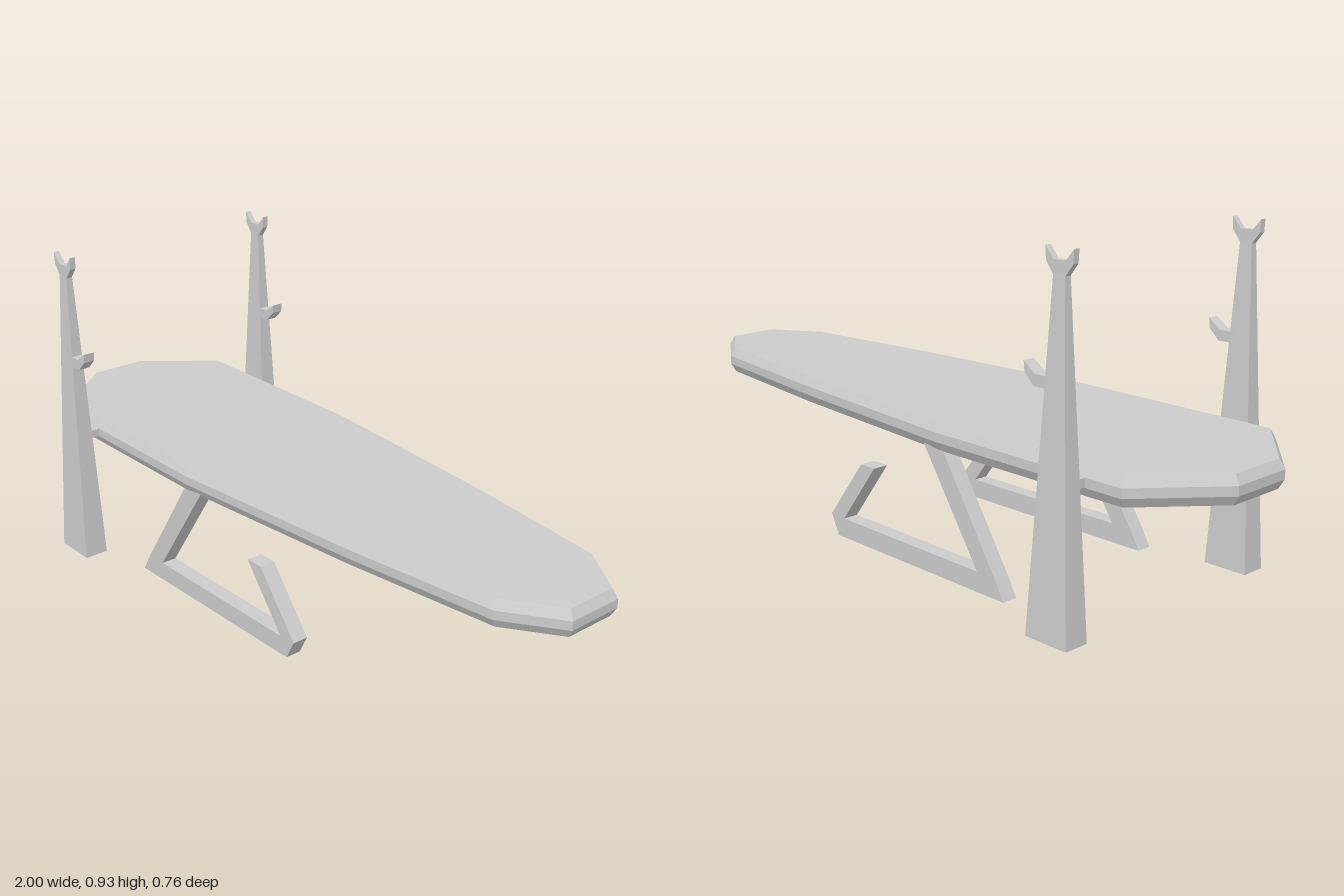
import * as THREE from 'three';

const material = new THREE.MeshStandardMaterial({ color: 0xcccccc, flatShading: true, side: THREE.DoubleSide });

function add(parent, geometry, name) {
  const mesh = new THREE.Mesh(geometry, material);
  mesh.name = name;
  parent.add(mesh);
  return mesh;
}

// Flat profile in x/y, extruded evenly about z = 0
function slab(points, width) {
  const shape = new THREE.Shape(points.map(([x, y]) => new THREE.Vector2(x, y)));
  const geometry = new THREE.ExtrudeGeometry(shape, { depth: width, bevelEnabled: false });
  return geometry.translate(0, 0, -width / 2);
}

// Tapering board with chamfered rim
function boardGeometry() {
  const half = [[-1, 0.09], [-0.83, 0.295], [-0.21, 0.295], [0.4, 0.24], [0.85, 0.182], [1, 0.08]];
  const outline = [...half.map(([x, z]) => [x, -z]), ...half.slice().reverse()];
  const shape = new THREE.Shape(outline.map(([x, z]) => new THREE.Vector2(x, z)));
  const geometry = new THREE.ExtrudeGeometry(shape, {
    depth: 0.025, bevelThickness: 0.025, bevelSize: 0.014, bevelOffset: -0.014, bevelSegments: 1,
  });
  return geometry.rotateX(-Math.PI / 2).translate(0, 0.371, 0);
}

// Bent leg whose side follows the board's taper slightly
function legGeometry(side) {
  const geometry = slab([
    [-0.45, 0.003], [0.21, 0.003], [0.24, 0.06], [0.105, 0.235], [0.05, 0.235],
    [0.185, 0.058], [-0.355, 0.058], [-0.155, 0.352], [-0.225, 0.352], [-0.42, 0.055],
  ], 0.046);
  const p = geometry.attributes.position;
  for (let i = 0; i < p.count; i++) {
    p.setZ(i, p.getZ(i) + side * (0.256 - 0.012 * p.getX(i)));
  }
  geometry.computeVertexNormals();
  return geometry;
}

// Upright with a fork on top and a hook partway up
function createUpright(side) {
  const upright = new THREE.Group();
  upright.name = side > 0 ? 'frontUpright' : 'backUpright';

  // Four-sided tapering post, open underneath
  const post = new THREE.CylinderGeometry(0.267 * Math.SQRT2, Math.SQRT2, 0.87, 4, 1, true);
  post.rotateY(Math.PI / 4).scale(0.065, 1, 0.036).translate(0, 0.435, 0);
  add(upright, post, 'post');

  add(upright, slab([
    [-0.018, 0.866], [0.018, 0.866], [0.041, 0.896], [0.043, 0.93],
    [0.018, 0.901], [-0.018, 0.901], [-0.043, 0.93], [-0.041, 0.896],
  ], 0.017), 'fork');

  add(upright, slab([
    [0.015, 0.605], [0.066, 0.605], [0.095, 0.634], [0.098, 0.66],
    [0.062, 0.634], [0.015, 0.634],
  ], 0.034), 'hook');

  // Short bar joining the post to the board
  const bar = new THREE.BoxGeometry(0.078, 0.023, 0.06);
  bar.translate(0.003, 0.384, -side * 0.045);
  add(upright, bar, 'connector');

  upright.position.set(-0.685, 0, side * 0.345);
  return upright;
}

export function createModel() {
  const model = new THREE.Group();
  model.name = 'ironingBoard';
  add(model, boardGeometry(), 'board');
  for (const side of [1, -1]) {
    add(model, legGeometry(side), side > 0 ? 'frontLeg' : 'backLeg');
    model.add(createUpright(side));
  }
  return model;
}
